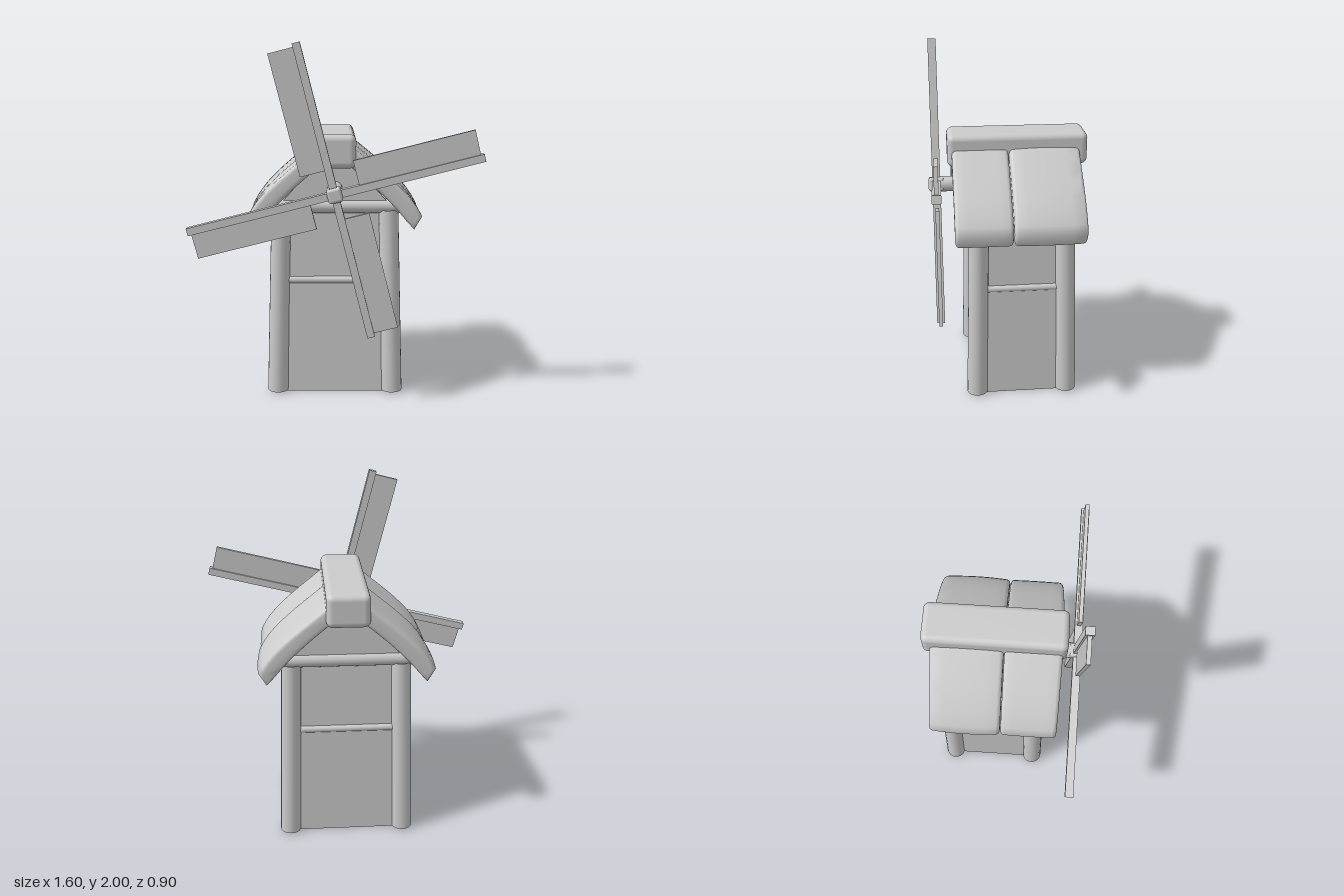
import * as THREE from 'three';
import { toCreasedNormals } from 'three/addons/utils/BufferGeometryUtils.js';
import { RoundedBoxGeometry } from 'three/addons/geometries/RoundedBoxGeometry.js';

const smooth = new THREE.MeshStandardMaterial({ color: 0xcccccc, side: THREE.DoubleSide });
const flat = new THREE.MeshStandardMaterial({ color: 0xcccccc, side: THREE.DoubleSide, flatShading: true });

const ZC = -0.06; // centre of the tower in z
const HEIGHT = 1.1; // wall height
const UP = new THREE.Vector3(0, 1, 0);
// half sizes of the tapering tower at height y
const halfX = (y) => 0.333 - 0.029 * (y / HEIGHT);
const halfZ = (y) => 0.263 - 0.023 * (y / HEIGHT);

function add(parent, name, geometry, material = smooth) {
  const mesh = new THREE.Mesh(geometry, material);
  mesh.name = name;
  parent.add(mesh);
  return mesh;
}

// round timber from point a to point b
function timber(parent, name, a, b, rA, rB = rA, open = false) {
  const start = new THREE.Vector3(...a), dir = new THREE.Vector3(...b).sub(start);
  const geo = new THREE.CylinderGeometry(rB, rA, dir.length(), 20, 1, open);
  const mesh = add(parent, name, geo);
  mesh.position.copy(start).addScaledVector(dir, 0.5);
  mesh.quaternion.setFromUnitVectors(UP, dir.normalize());
}

function buildTower() {
  const tower = new THREE.Group();
  tower.name = 'tower';
  tower.position.z = ZC;

  // hollow four-sided walls open at the foot, the lower panels standing slightly proud
  const profile = [[1.04, 0], [0.99, 0.66], [0.95, 0.69], [0.917, HEIGHT], [0.83, HEIGHT], [0.9, 0]]
    .map(([r, y]) => new THREE.Vector2(r * Math.SQRT2, y));
  const walls = new THREE.LatheGeometry(profile, 4, Math.PI / 4).scale(0.333, 1, 0.263);
  add(tower, 'walls', walls, flat);

  const top = 1.08, mid = 0.67;
  for (const side of [-1, 1]) {
    for (const end of [-1, 1]) {
      timber(tower, 'cornerPost',
        [side * halfX(0), 0.008, end * halfZ(0)], [side * halfX(top), top, end * halfZ(top)], 0.06, 0.055, true);
    }
    const x = side * halfX(mid), z = side * halfZ(mid);
    timber(tower, 'sideRail', [x, mid, -halfZ(mid)], [x, mid, halfZ(mid)], 0.02);
    timber(tower, 'crossRail', [-halfX(mid), mid, z], [halfX(mid), mid, z], 0.02);
    timber(tower, 'eaveBeam', [-0.375, 1.1, side * 0.247], [0.375, 1.1, side * 0.247], 0.04);
    // triangular gable above the beam
    const tri = new THREE.Shape([[-0.34, 1.08], [0.34, 1.08], [0.03, 1.42], [-0.03, 1.42]]
      .map((p) => new THREE.Vector2(...p)));
    const gable = new THREE.ExtrudeGeometry(tri, { depth: 0.03, bevelEnabled: false });
    add(tower, 'gable', gable, flat).position.z = side * 0.25 - 0.015;
  }
  return tower;
}

// one curved thatch slab on the +x side between two z positions
function slabGeometry(z0, z1, bulge) {
  const bevel = 0.022;
  const shape = new THREE.Shape();
  shape.moveTo(0.05, 1.455);
  shape.bezierCurveTo(0.22, 1.31, 0.39, 1.195, 0.457, 1.06);
  shape.lineTo(0.436, 1.018);
  shape.bezierCurveTo(0.35, 1.135, 0.2, 1.28, 0.03, 1.405);
  const geo = new THREE.ExtrudeGeometry(shape, {
    depth: z1 - z0 - 2 * bevel, steps: 6, curveSegments: 12,
    bevelThickness: bevel, bevelSize: bevel, bevelSegments: 4,
  });
  geo.translate(0, 0, z0 + bevel);
  // swell towards the middle of the slab
  const p = geo.attributes.position, half = (z1 - z0) / 2;
  for (let i = 0; i < p.count; i++) {
    const t = (p.getZ(i) - z0) / half - 1;
    p.setX(i, p.getX(i) + bulge * (1 - t * t));
  }
  return toCreasedNormals(geo, 1.2);
}

function buildRoof() {
  const roof = new THREE.Group();
  roof.name = 'roof';
  for (const [name, z0, z1, bulge] of [['frontThatch', 0.0, 0.315, 0.002], ['rearThatch', -0.403, -0.004, 0.01]]) {
    add(roof, name, slabGeometry(z0, z1, bulge));
    // the opposite slope is the same slab turned half round
    add(roof, name, slabGeometry(-z1, -z0, bulge)).rotation.y = Math.PI;
  }
  const cap = add(roof, 'ridgeCap', new RoundedBoxGeometry(0.235, 0.185, 0.79, 4, 0.035));
  cap.position.set(-0.002, 1.422, -0.055);
  return roof;
}

function buildSails() {
  const sails = new THREE.Group();
  sails.name = 'sails';
  sails.position.set(-0.001, 1.2, 0.405);
  sails.rotation.z = THREE.MathUtils.degToRad(14.2);
  add(sails, 'hub', new RoundedBoxGeometry(0.08, 0.08, 0.09, 3, 0.016));
  for (let i = 0; i < 4; i++) {
    const sail = new THREE.Group();
    sail.name = 'sail';
    sail.rotation.z = i * Math.PI / 2;
    const arm = add(sail, 'sailArm', new THREE.BoxGeometry(0.82, 0.042, 0.046), flat);
    arm.position.x = 0.41;
    // thin board on the leading side of the arm
    const board = add(sail, 'sailBoard', new THREE.BoxGeometry(0.663, 0.14, 0.022), flat);
    board.position.set(0.471, 0.086, 0);
    sails.add(sail);
  }
  return sails;
}

export function createModel() {
  const model = new THREE.Group();
  model.name = 'windmill';
  model.add(buildTower(), buildRoof(), buildSails());
  timber(model, 'sailShaft', [0, 1.2, 0.15], [0, 1.2, 0.4], 0.044);
  return model;
}
